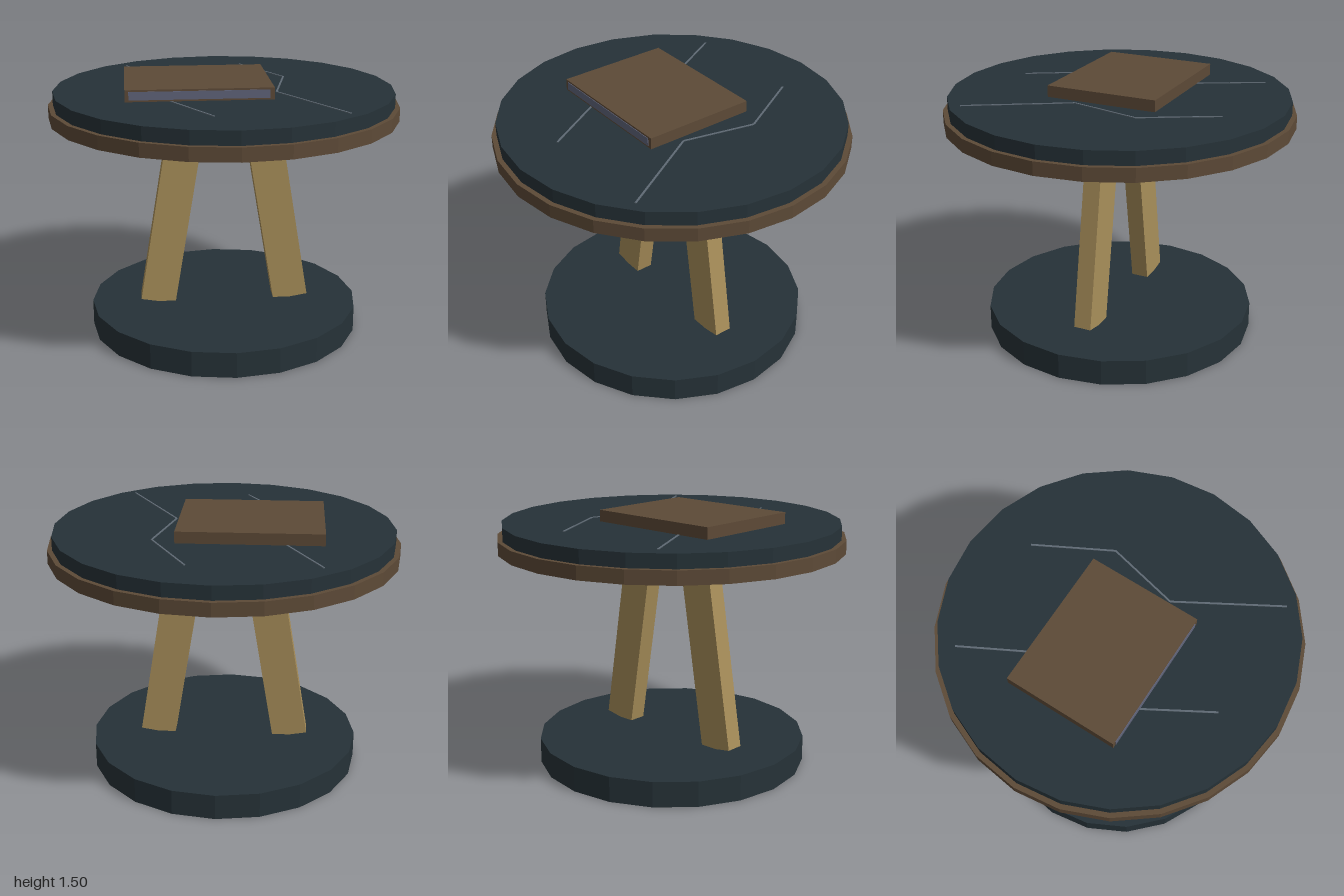
import * as THREE from 'three';

const mat = (name, color) => {
  const m = new THREE.MeshStandardMaterial({ color, flatShading: true });
  m.name = name;
  return m;
};

export function createModel() {
  const slate = mat('dark slate', 0x263238);
  const brown = mat('brown wood', 0x5d4a37);
  const tan = mat('tan wood', 0xa98f5a);
  const grey = mat('page grey', 0x60647a);
  const vein = mat('vein grey', 0x5f6a74);

  const model = new THREE.Group();
  model.name = 'roundTable';

  const add = (name, geometry, material, x, y, z, parent = model) => {
    const mesh = new THREE.Mesh(geometry, material);
    mesh.name = name;
    mesh.position.set(x, y, z);
    parent.add(mesh);
    return mesh;
  };
  const disc = (name, r, y0, y1, sides, material) =>
    add(name, new THREE.CylinderGeometry(r, r, y1 - y0, sides), material, 0, (y0 + y1) / 2, 0);

  // Base and two-layer table top
  disc('base', 0.79, 0, 0.148, 20, slate);
  disc('topRim', 1, 1.28, 1.357, 24, brown);
  disc('topSlab', 0.972, 1.357, 1.435, 24, slate);

  // Two flat legs leaning in towards the top
  for (const side of [-1, 1]) {
    const leg = add(side < 0 ? 'rightLeg' : 'leftLeg',
      new THREE.BoxGeometry(0.206, 1.144, 0.104), tan, side * 0.305, 0.7125, 0);
    leg.rotation.z = side * 0.164;
  }

  // Book with the page edges showing at the front
  const book = new THREE.Group();
  book.name = 'book';
  model.add(book);
  add('bookCover', new THREE.BoxGeometry(0.815, 0.066, 0.655), brown, -0.158, 1.47, 0, book);
  add('bookPages', new THREE.BoxGeometry(0.77, 0.046, 0.006), grey, -0.16, 1.47, 0.328, book);

  // Zigzag veins inlaid across the table top
  const path = [[0.16, -0.68], [0.38, -0.27], [0.285, 0.14], [0.6, 0.68]];
  for (const shift of [0, -0.71]) {
    const crack = new THREE.Group();
    crack.name = shift ? 'rightVein' : 'leftVein';
    crack.position.x = shift;
    model.add(crack);
    for (let i = 0; i < path.length - 1; i++) {
      const [x0, z0] = path[i], [x1, z1] = path[i + 1];
      const dx = x1 - x0, dz = z1 - z0;
      const strip = add('veinStrip', new THREE.BoxGeometry(0.01, 0.006, Math.hypot(dx, dz)),
        vein, (x0 + x1) / 2, 1.436, (z0 + z1) / 2, crack);
      strip.rotation.y = Math.atan2(dx, dz);
    }
  }
  return model;
}
